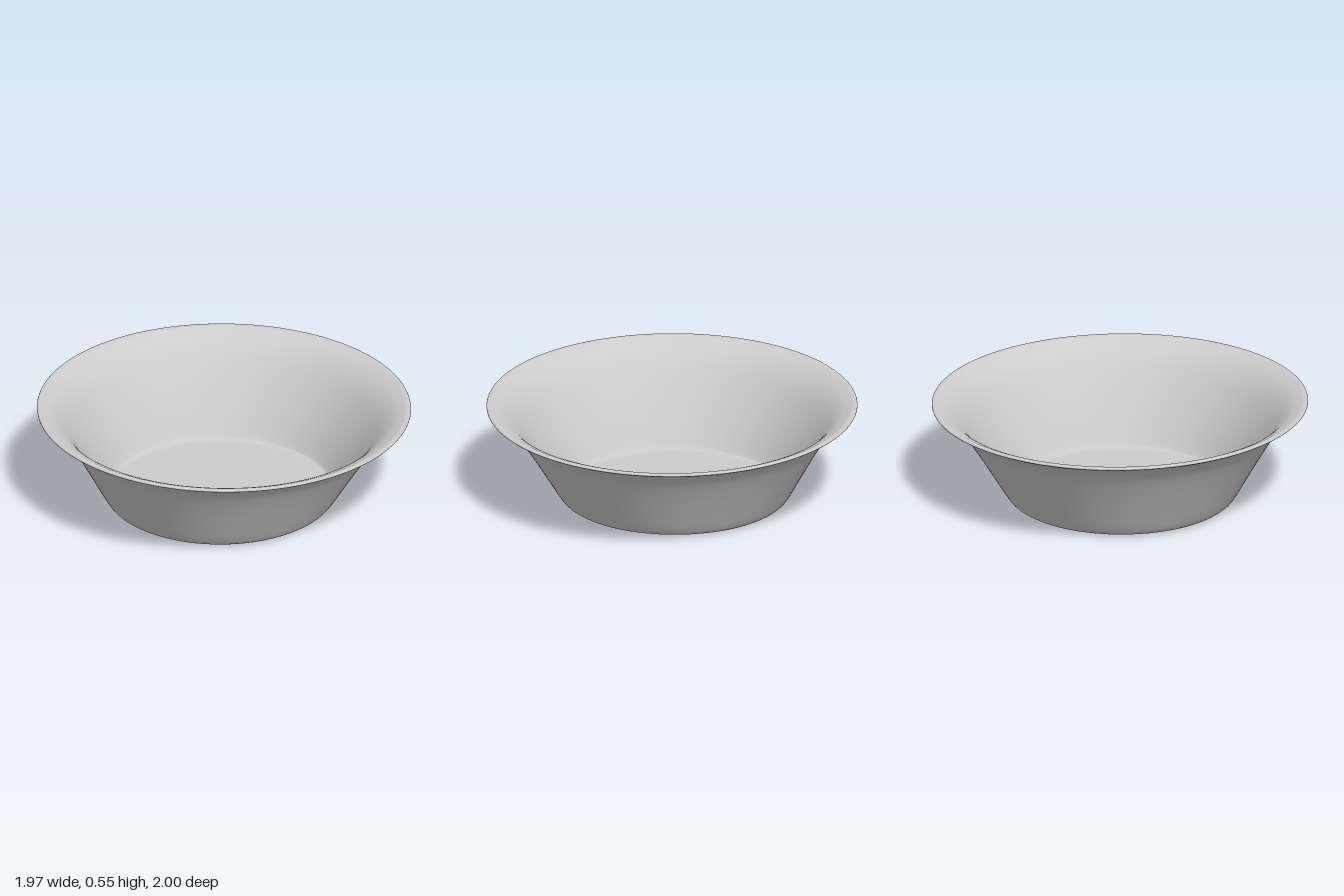
import * as THREE from 'three';

const V = (x, y) => new THREE.Vector2(x, y);

// Smooth profile through a few [radius, height] points
const smooth = (pts, n) => new THREE.SplineCurve(pts.map(p => V(...p))).getPoints(n);

export function createModel() {
  const group = new THREE.Group();
  const material = new THREE.MeshStandardMaterial({ color: 0xcccccc, side: THREE.DoubleSide });

  // Outside: flat foot, rounded heel, flaring wall, then the rolled lip
  const outer = smooth([
    [0.555, 0.003], [0.59, 0.01], [0.622, 0.045], [0.69, 0.16], [0.77, 0.295],
    [0.845, 0.41], [0.91, 0.475], [0.975, 0.51], [0.992, 0.52],
    [0.988, 0.53], [0.965, 0.529],
  ], 44);
  // Inside: lip down the wall to the floor edge
  const inner = smooth([
    [0.965, 0.529], [0.9, 0.496], [0.83, 0.428], [0.75, 0.31],
    [0.67, 0.175], [0.605, 0.055], [0.585, 0.036], [0.55, 0.032],
  ], 36).slice(1);
  const profile = [V(0, 0.006), V(0.5, 0.006), V(0.53, 0.001), ...outer, ...inner, V(0, 0.03)];

  const geometry = new THREE.LatheGeometry(profile, 96);
  const pos = geometry.attributes.position;
  // Handmade irregularity: off-centre foot, slightly oval and tilted rim
  for (let i = 0; i < pos.count; i++) {
    const x = pos.getX(i), y = pos.getY(i), z = pos.getZ(i);
    const t = y / 0.53;
    pos.setXYZ(i,
      x * (1 - 0.008 * t) - 0.016 * (1 - t),
      y + t * (0.016 * z - 0.004 * x),
      z * (1 + 0.008 * t) + 0.014 * (1 - t));
  }

  const bowl = new THREE.Mesh(geometry, material);
  bowl.name = 'bowl';
  group.add(bowl);
  return group;
}
